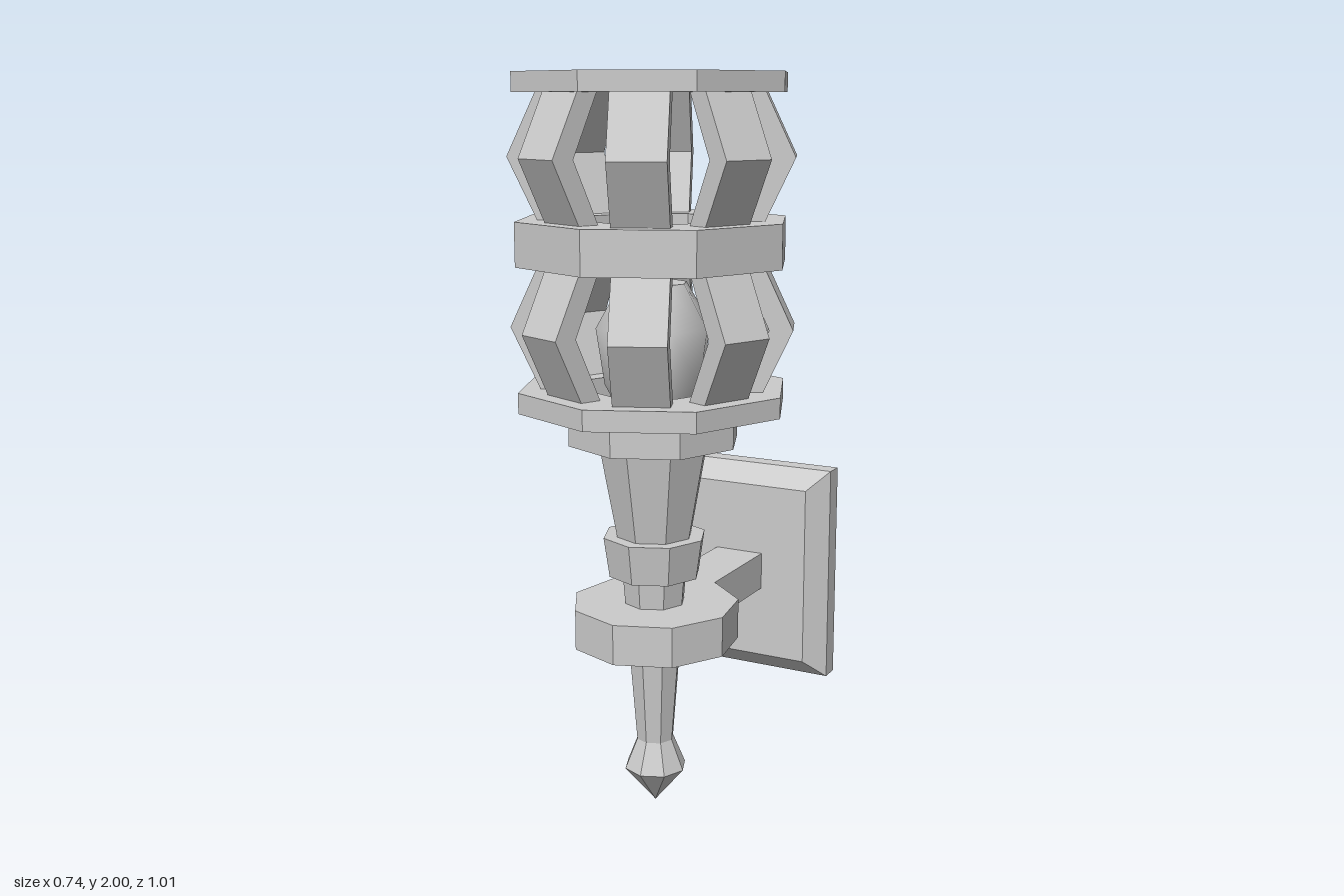
import * as THREE from 'three';

const AXIS_Z = 0.14; // the torch stands in front of the wall plate

export function createModel() {
  const model = new THREE.Group();
  const flat = new THREE.MeshStandardMaterial({ color: 0xcccccc, flatShading: true, side: THREE.DoubleSide });
  const smooth = new THREE.MeshStandardMaterial({ color: 0xcccccc, side: THREE.DoubleSide });

  const add = (name, geometry, material = flat, parent = model) => {
    const mesh = new THREE.Mesh(geometry, material);
    mesh.name = name;
    parent.add(mesh);
    return mesh;
  };

  const torch = new THREE.Group();
  torch.name = 'torch';
  torch.position.z = AXIS_Z;
  model.add(torch);

  // Faceted turned part from [radius, height] pairs, listed bottom to top
  const turned = (name, profile, sides = 8, material = flat) =>
    add(name, new THREE.LatheGeometry(profile.map(([r, y]) => new THREE.Vector2(r, y)), sides), material, torch);

  // Stem
  turned('pointedShaft', [[0, 0], [0.087, 0.105], [0.052, 0.19], [0.09, 0.67]]);
  turned('collar', [[0, 0.67], [0.127, 0.67], [0.143, 0.78], [0, 0.78]]);
  turned('cup', [[0.105, 0.78], [0.153, 1.04]]);
  turned('cupRim', [[0, 1.04], [0.235, 1.04], [0.235, 1.135], [0, 1.135]]);
  turned('holder', [[0, 0.48], [0.23, 0.48], [0.23, 0.59], [0, 0.59]], 9);

  // Lamp
  turned('lamp', [[0.1, 1.135], [0.135, 1.2], [0.158, 1.35], [0.09, 1.465]], 8, smooth);
  turned('lampTop', [[0.09, 1.465], [0, 1.465]]);

  // Cage rings
  const R = 0.367, HOLE = 0.195;
  [['lowerRing', 1.135, 1.19], ['middleRing', 1.515, 1.63], ['upperRing', 1.95, 2]].forEach(([name, a, b]) =>
    turned(name, [[HOLE, a], [R, a], [R, b], [HOLE, b], [HOLE, a]]));

  // Cage struts: chevrons bent outward, one on each side of the octagon
  const strutGeometry = (y0, y1) => {
    const mid = (y0 + y1) / 2, width = 0.146;
    const shape = new THREE.Shape([
      [0.233, y0], [0.292, y0], [0.368, mid], [0.292, y1], [0.233, y1], [0.306, mid],
    ].map(([x, y]) => new THREE.Vector2(x, y)));
    return new THREE.ExtrudeGeometry(shape, { depth: width, bevelEnabled: false }).translate(0, 0, -width / 2);
  };
  [['lowerStrut', 1.19, 1.515], ['upperStrut', 1.63, 1.95]].forEach(([name, a, b]) => {
    const geometry = strutGeometry(a, b);
    for (let i = 0; i < 8; i++) add(name, geometry, flat, torch).rotation.y = (i + 0.5) * Math.PI / 4;
  });

  // Open-ended loft through rectangles [halfWidth, halfHeight, z]
  const loft = (rects, cy) => {
    const positions = [], index = [];
    rects.forEach(([w, h, z], k) => {
      positions.push(-w, cy - h, z, w, cy - h, z, w, cy + h, z, -w, cy + h, z);
      if (!k) return;
      for (let i = 0; i < 4; i++) {
        const j = (i + 1) % 4, a = 4 * (k - 1), b = 4 * k;
        index.push(a + i, a + j, b + j, a + i, b + j, b + i);
      }
    });
    const geometry = new THREE.BufferGeometry();
    geometry.setAttribute('position', new THREE.Float32BufferAttribute(positions, 3));
    geometry.setIndex(index);
    geometry.computeVertexNormals();
    return geometry;
  };

  // Hollow wall plate with a bevelled face, and the hollow arm that opens into it
  add('wallPlate', loft([[0.271, 0.322, -0.507], [0.271, 0.322, -0.452], [0.215, 0.267, -0.396], [0.075, 0.055, -0.396]], 0.534));
  add('arm', loft([[0.075, 0.055, -0.396], [0.075, 0.055, -0.06]], 0.535));

  return model;
}
